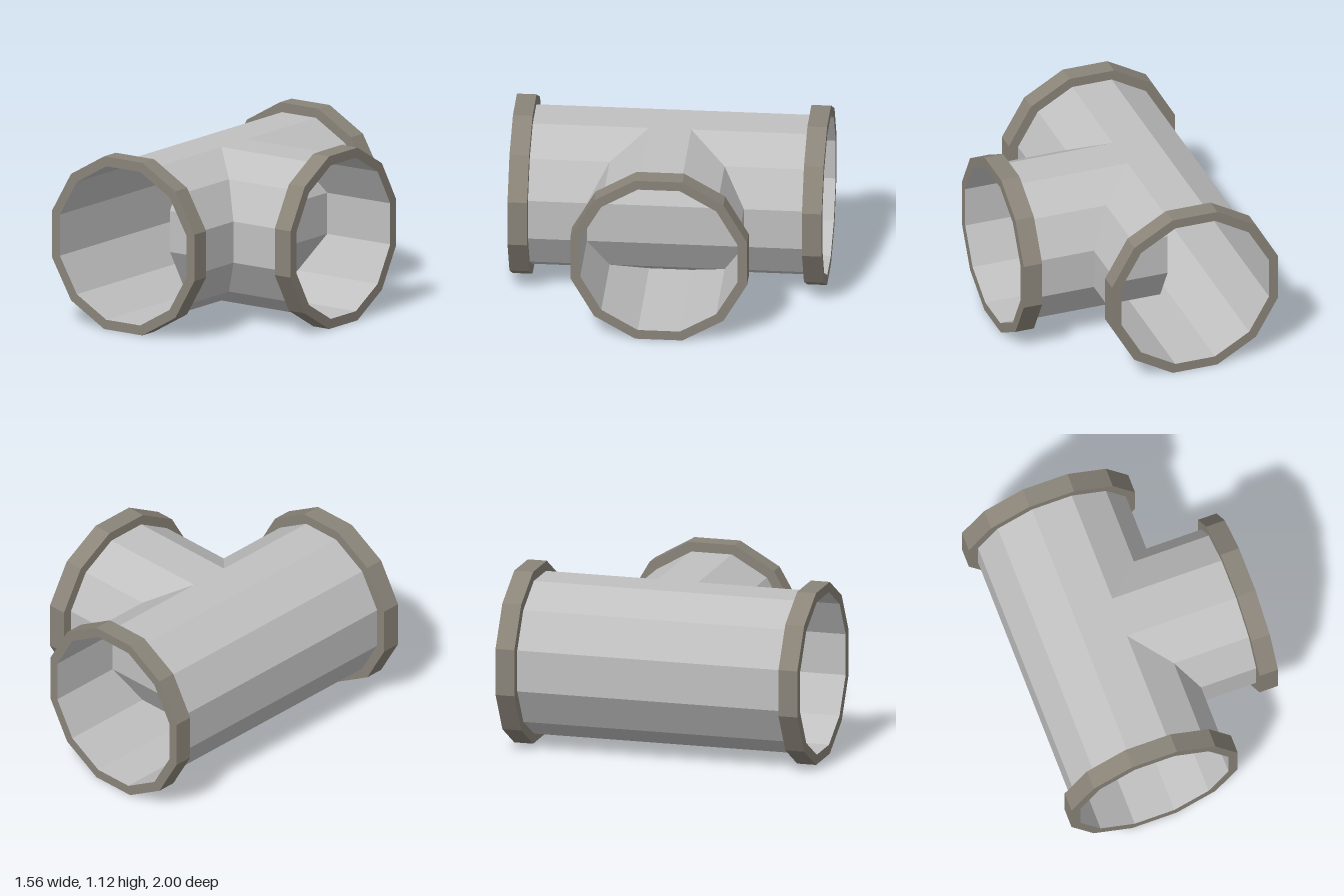
import * as THREE from 'three';

const SIDES = 12;
const toCorner = 1 / Math.cos(Math.PI / SIDES); // flat-to-centre distance -> corner radius
const BORE = 0.5 * toCorner;
const RIM = 0.5625 * toCorner;
const RIM_WIDTH = 0.125;
const AXIS_X = -0.2175, AXIS_Y = 0.5625, BRANCH_END = 0.78;

const pipeGrey = new THREE.MeshStandardMaterial({ color: 0xc0c0c0, flatShading: true, side: THREE.DoubleSide });
pipeGrey.name = 'pipe grey';
const flangeBrown = new THREE.MeshStandardMaterial({ color: 0x8a8479, flatShading: true, side: THREE.DoubleSide });
flangeBrown.name = 'flange brown';

// Twelve-sided surface of revolution with flats facing up, down and sideways
function turned(name, profile, material) {
  const points = profile.map(([r, y]) => new THREE.Vector2(r, y));
  const mesh = new THREE.Mesh(new THREE.LatheGeometry(points, SIDES, Math.PI / SIDES), material);
  mesh.name = name;
  return mesh;
}

// Open tube along its own y axis
const tube = (name, from, to) => turned(name, [[BORE, from], [BORE, to]], pipeGrey);

// Raised collar; the tube itself lines its inside
const flange = (name, from) => turned(name, [
  [BORE, from], [RIM, from], [RIM, from + RIM_WIDTH], [BORE, from + RIM_WIDTH],
], flangeBrown);

export function createModel() {
  const model = new THREE.Group();
  model.name = 'pipeTee';

  // Straight run along z
  const run = new THREE.Group();
  run.name = 'mainRun';
  run.add(tube('mainPipe', -1, 1), flange('frontFlange', 1 - RIM_WIDTH), flange('backFlange', -1));
  run.rotation.x = Math.PI / 2;

  // Side branch towards +x, starting on the run's axis
  const length = BRANCH_END - AXIS_X;
  const branch = new THREE.Group();
  branch.name = 'sideBranch';
  branch.add(tube('branchPipe', 0, length), flange('branchFlange', length - RIM_WIDTH));
  branch.rotation.z = -Math.PI / 2;

  for (const part of [run, branch]) {
    part.position.set(AXIS_X, AXIS_Y, 0);
    model.add(part);
  }
  return model;
}
